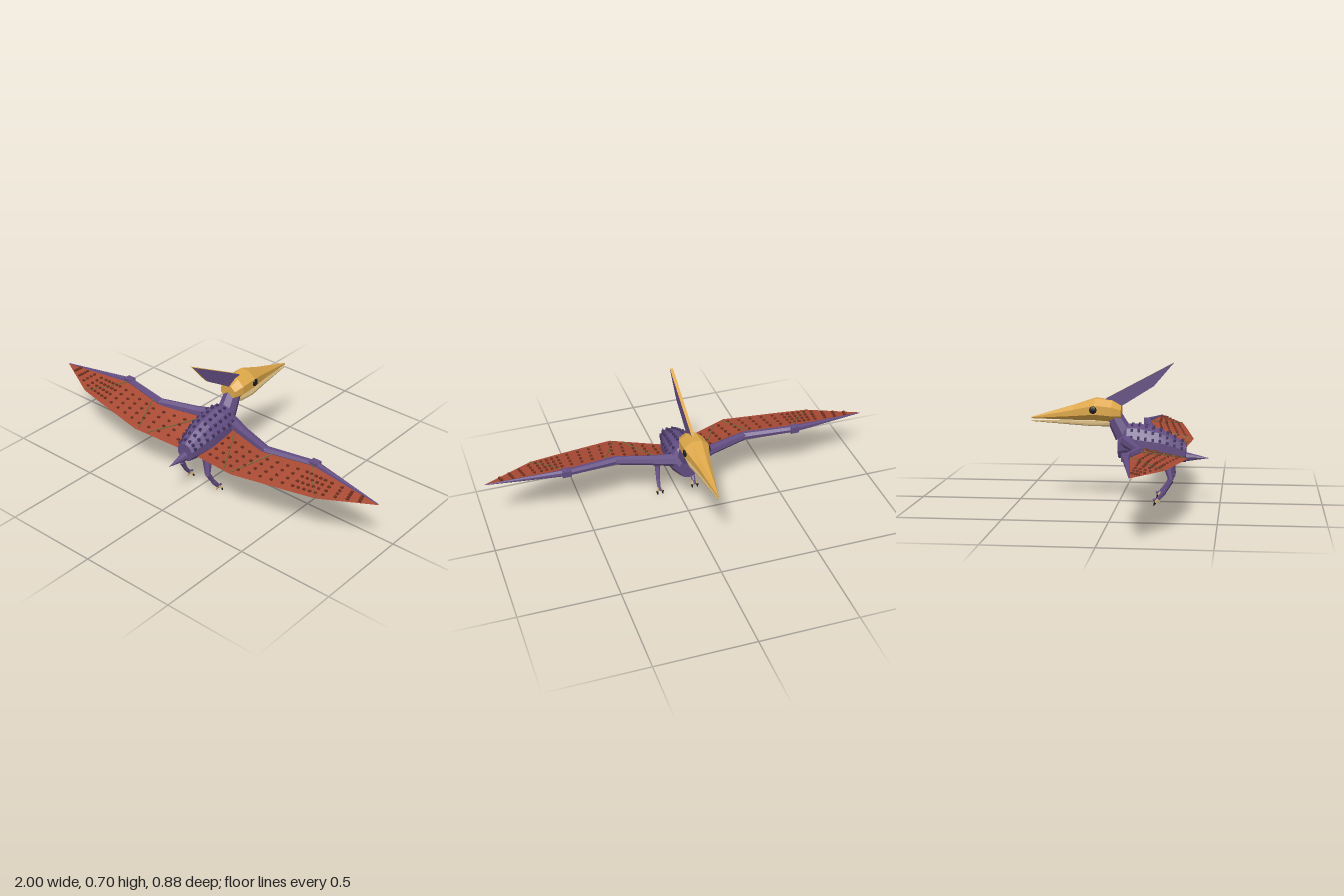
import * as THREE from 'three';
import { mergeGeometries } from 'three/addons/utils/BufferGeometryUtils.js';

const V = (x, y, z) => new THREE.Vector3(x, y, z);

export function createModel() {
  const model = new THREE.Group();
  model.name = 'pterosaur';
  const paint = (name, color, side = THREE.FrontSide) => {
    const m = new THREE.MeshStandardMaterial({ color, flatShading: true, side });
    m.name = name;
    return m;
  };
  const purple = paint('purple hide', 0x634d82);
  const darkPurple = paint('dark purple', 0x43345f);
  const gold = paint('golden beak', 0xdca648);
  const tan = paint('tan', 0xc4a873);
  const red = paint('rust membrane', 0xa84a34, THREE.DoubleSide);
  const darkRed = paint('dark rust', 0x70301f);
  const olive = paint('olive bone', 0x74683c);
  const black = paint('black', 0x17171a);

  const add = (name, geo, mat, parent = model) => {
    const mesh = new THREE.Mesh(geo, mat);
    mesh.name = name;
    parent.add(mesh);
    return mesh;
  };

  // Loft of regular rings [z, centreY, halfWidth, halfHeight], ordered from back to front
  const loft = (sections, n) => {
    const pos = [], idx = [];
    const k = 1 / Math.cos(Math.PI / n);
    sections.forEach(([z, cy, rx, ry]) => {
      for (let j = 0; j < n; j++) {
        const a = ((j + 0.5) / n) * Math.PI * 2;
        pos.push(Math.cos(a) * rx * k, cy + Math.sin(a) * ry * k, z);
      }
    });
    const last = (sections.length - 1) * n;
    for (let i = 0; i < last; i += n) {
      for (let j = 0; j < n; j++) {
        const a = i + j, b = i + ((j + 1) % n);
        idx.push(a, a + n, b, b, a + n, b + n);
      }
    }
    for (let j = 1; j < n - 1; j++) idx.push(0, j, j + 1, last, last + j + 1, last + j);
    const g = new THREE.BufferGeometry();
    g.setAttribute('position', new THREE.Float32BufferAttribute(pos, 3));
    g.setIndex(idx);
    g.computeVertexNormals();
    return g;
  };

  // Tapered rod between two points
  const rod = (a, b, ra, rb, n = 7) => {
    const d = b.clone().sub(a);
    const g = new THREE.CylinderGeometry(rb, ra, d.length(), n);
    g.applyQuaternion(new THREE.Quaternion().setFromUnitVectors(V(0, 1, 0), d.normalize()));
    const m = a.clone().add(b).multiplyScalar(0.5);
    return g.translate(m.x, m.y, m.z);
  };
  const studs = (points, w, h, d) =>
    mergeGeometries(points.map((p) => new THREE.BoxGeometry(w, h, d).translate(p.x, p.y, p.z)));

  // Torso, belly plate, tail and neck
  const torso = [
    [0.33, 0.255, 0.045, 0.045], [0.25, 0.275, 0.068, 0.07], [0.2, 0.284, 0.078, 0.084],
    [0.1, 0.293, 0.086, 0.098], [0.04, 0.303, 0.078, 0.086], [-0.005, 0.28, 0.05, 0.055],
  ];
  add('torso', loft(torso, 10), purple);
  add('bellyPlate', loft([
    [0.215, 0.207, 0.025, 0.006], [0.11, 0.2, 0.048, 0.015], [0.03, 0.218, 0.035, 0.009],
  ], 8), tan);
  add('tail', rod(V(0, 0.234, 0.31), V(0, 0.228, 0.44), 0.027, 0.001, 8), purple);
  add('neck', rod(V(0, 0.335, 0.025), V(0, 0.445, -0.035), 0.05, 0.04, 8), purple);

  // Rows of studs over the back, following the torso surface
  const backPoints = [];
  for (let i = 0; i < 8; i++) {
    const z = 0.065 + i * 0.035;
    const k = Math.max(0, torso.findIndex((s) => s[0] <= z) - 1);
    const a = torso[k], b = torso[k + 1], t = (z - a[0]) / (b[0] - a[0]);
    const [, cy, rx, ry] = a.map((v, q) => v + (b[q] - v) * t);
    for (const deg of [-66, -42, -16, 16, 42, 66]) {
      const r = THREE.MathUtils.degToRad(deg);
      backPoints.push(V(Math.sin(r) * rx * 1.03, cy + Math.cos(r) * ry * 1.03, z));
    }
  }
  add('backStuds', studs(backPoints, 0.012, 0.014, 0.012), darkPurple);

  // Head: upper beak, lower jaw, eyes
  add('upperBeak', loft([
    [0.01, 0.45, 0.045, 0.034], [-0.035, 0.458, 0.06, 0.052], [-0.12, 0.466, 0.062, 0.054],
    [-0.23, 0.447, 0.035, 0.036], [-0.44, 0.418, 0.002, 0.004],
  ], 8), gold);
  add('lowerJaw', loft([
    [-0.045, 0.395, 0.04, 0.014], [-0.13, 0.392, 0.042, 0.011],
    [-0.24, 0.396, 0.026, 0.009], [-0.44, 0.402, 0.002, 0.002],
  ], 8), tan);

  // Head crest: purple plate with golden rim
  const crest = new THREE.Shape([[0.27, 0.7], [0.17, 0.582], [0.0, 0.475], [-0.075, 0.5], [-0.065, 0.52]]
    .map(([z, y]) => new THREE.Vector2(-z, y)));
  const crestGeo = new THREE.ExtrudeGeometry(crest, { depth: 0.016, bevelEnabled: false });
  crestGeo.translate(0, 0, -0.008).rotateY(Math.PI / 2);
  add('headCrest', crestGeo, [purple, gold]);

  // Wing membrane stations: leading and trailing edge
  const lead = [V(0.05, 0.295, 0.05), V(0.34, 0.315, 0.13), V(0.6, 0.326, 0.1), V(0.72, 0.32, 0.107), V(0.99, 0.306, 0.14)];
  const trail = [V(0.05, 0.233, 0.295), V(0.31, 0.275, 0.354), V(0.6, 0.288, 0.303), V(0.745, 0.294, 0.275), V(1, 0.305, 0.145)];
  const wingPoint = (u, t, s, lift = 0) => {
    const i = Math.min(3, Math.floor(u)), f = u - i;
    const p = lead[i].clone().lerp(lead[i + 1], f).lerp(trail[i].clone().lerp(trail[i + 1], f), t);
    return V(p.x * s, p.y + lift, p.z);
  };

  for (const s of [1, -1]) {
    const side = s > 0 ? 'left' : 'right';
    const eye = add(side + 'Eye', new THREE.SphereGeometry(0.019, 8, 6), black);
    eye.scale.x = 0.4;
    eye.position.set(s * 0.061, 0.466, -0.125);

    const wing = new THREE.Group();
    wing.name = side + 'Wing';
    model.add(wing);

    // Membrane, with its winding turned upward on both sides
    const pos = [], idx = [];
    for (let i = 0; i < 5; i++) pos.push(...wingPoint(i, 0, s).toArray(), ...wingPoint(i, 1, s).toArray());
    for (let i = 0; i < 8; i += 2) {
      idx.push(...(s > 0 ? [i, i + 1, i + 2, i + 2, i + 1, i + 3] : [i, i + 2, i + 1, i + 2, i + 3, i + 1]));
    }
    const skin = new THREE.BufferGeometry();
    skin.setAttribute('position', new THREE.Float32BufferAttribute(pos, 3));
    skin.setIndex(idx);
    skin.computeVertexNormals();
    add('membrane', skin, red, wing);

    // Studs in rows along the membrane
    const dots = [];
    for (const t of [0.28, 0.46, 0.64, 0.82]) {
      for (let k = 0; k < 18; k++) dots.push(wingPoint(0.2 + k * 0.205, t, s, 0.003));
    }
    add('membraneStuds', studs(dots, 0.013, 0.008, 0.011), darkRed, wing);

    // Thin bones across the membrane
    [[[0.2, 0.1], [0.75, 0.96]], [[1.2, 0.05], [0.95, 0.95]], [[2, 0.05], [3, 0.96]]].forEach(([a, b]) => {
      const steps = [0, 0.25, 0.5, 0.75, 1].map((f) =>
        wingPoint(a[0] + (b[0] - a[0]) * f, a[1] + (b[1] - a[1]) * f, s, 0.003));
      for (let i = 0; i < 4; i++) add('wingBone', rod(steps[i], steps[i + 1], 0.003, 0.003, 4), olive, wing);
    });

    // Arm: shoulder, elbow, wrist, finger tip
    const joints = [V(0.05, 0.312, 0.04), V(0.16, 0.31, 0.075), V(0.34, 0.312, 0.13), V(0.6, 0.325, 0.09), V(0.995, 0.306, 0.143)];
    const radii = [0.034, 0.026, 0.022, 0.018, 0.002];
    joints.forEach((p) => (p.x *= s));
    for (let i = 0; i < 4; i++) add('wingArm', rod(joints[i], joints[i + 1], radii[i], radii[i + 1]), purple, wing);
    add('elbow', new THREE.IcosahedronGeometry(0.023, 0), purple, wing).position.copy(joints[2]);
    add('wrist', new THREE.BoxGeometry(0.045, 0.032, 0.038), purple, wing).position.copy(joints[3]);

    // Leg with toes and claws
    const leg = new THREE.Group();
    leg.name = side + 'Leg';
    model.add(leg);
    const hip = V(s * 0.062, 0.235, 0.238), knee = V(s * 0.085, 0.13, 0.262);
    const ankle = V(s * 0.092, 0.06, 0.222), foot = V(s * 0.095, 0.037, 0.2);
    add('thigh', rod(hip, knee, 0.03, 0.014), purple, leg);
    add('shin', rod(knee, ankle, 0.014, 0.01), purple, leg);
    add('ankle', rod(V(s * 0.092, 0.07, 0.228), foot, 0.012, 0.01, 6), purple, leg);
    for (const d of [-0.014, 0, 0.014]) {
      const tip = V(s * 0.095 + d, d ? 0.02 : 0.031, d ? 0.186 : 0.174);
      add('toe', rod(foot, tip, 0.007, 0.006, 5), d ? tan : purple, leg);
      if (d) add('claw', rod(tip, V(tip.x, 0.006, 0.179), 0.007, 0.003, 5), black, leg);
    }
    add('backToe', rod(foot, V(s * 0.095, 0.014, 0.208), 0.007, 0.004, 5), tan, leg);
  }
  return model;
}
